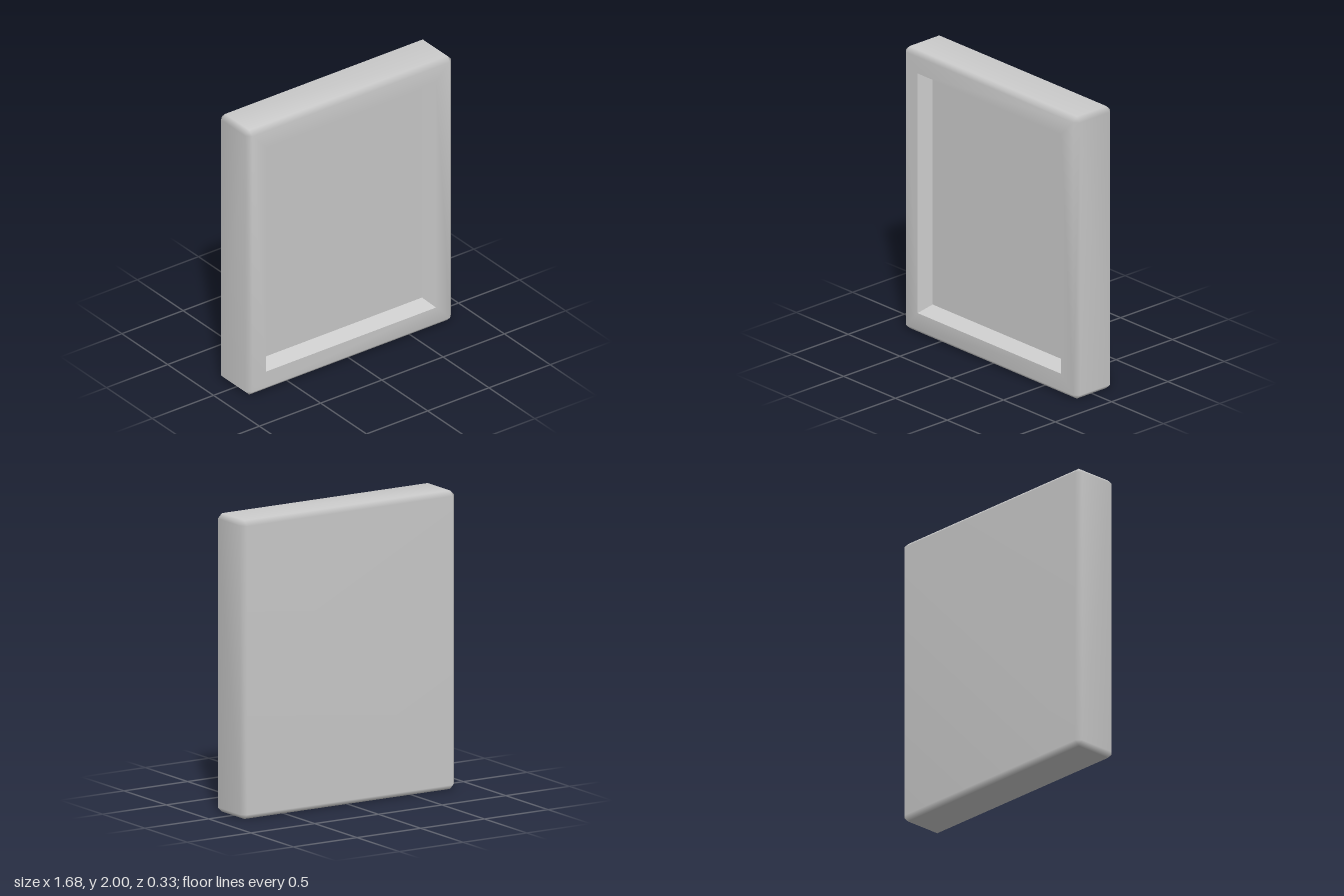
import * as THREE from 'three';

const half = [0.84, 1, 0.165]; // half sizes of the body
const bevel = 0.033;
const floorZ = 0.075;

// Corners of a rectangle, counter-clockwise as seen from the front
const rect = (x, y, z) => [[-x, -y, z], [x, -y, z], [x, y, z], [-x, y, z]];

function geometryFrom(points, index) {
  const geo = new THREE.BufferGeometry();
  geo.setAttribute('position', new THREE.Float32BufferAttribute(points.flat(), 3));
  geo.setIndex(index);
  return geo;
}

// Smoothly shaded bevelled box whose front face is a ring around an opening
function bodyGeometry(opening) {
  const points = [], index = [];
  const signs = [-1, 1];
  // One point per corner and facing axis
  for (const x of signs) for (const y of signs) for (const z of signs) {
    for (let axis = 0; axis < 3; axis++) {
      points.push([x, y, z].map((s, i) => s * (half[i] - (i === axis ? 0 : bevel))));
    }
  }
  const id = (s, axis) => ((s[0] > 0) * 4 + (s[1] > 0) * 2 + (s[2] > 0)) * 3 + axis;
  const v = (i) => new THREE.Vector3(...points[i]);
  // Adds a triangle, turned to face outward
  const tri = (a, b, c) => {
    const n = v(b).sub(v(a)).cross(v(c).sub(v(a)));
    const mid = v(a).add(v(b)).add(v(c));
    index.push(...(n.dot(mid) > 0 ? [a, b, c] : [a, c, b]));
  };
  const quad = (a, b, c, d) => { tri(a, b, c); tri(a, c, d); };
  const at = (a, sa, b, sb, c, sc) => { const s = []; s[a] = sa; s[b] = sb; s[c] = sc; return s; };

  for (let a = 0; a < 3; a++) {
    const b = (a + 1) % 3, c = (a + 2) % 3;
    for (const s of signs) {
      const face = [[-1, -1], [1, -1], [1, 1], [-1, 1]].map(([p, q]) => id(at(a, s, b, p, c, q), a));
      if (a === 2 && s === 1) {
        // Front rim around the opening
        const first = points.length;
        points.push(...opening);
        for (let i = 0; i < 4; i++) {
          const j = (i + 1) % 4;
          quad(face[i], face[j], first + j, first + i);
        }
      } else quad(...face);
      // Edge bevels parallel to axis c
      for (const t of signs) {
        const lo = at(a, s, b, t, c, -1), hi = at(a, s, b, t, c, 1);
        quad(id(lo, a), id(hi, a), id(hi, b), id(lo, b));
      }
    }
  }
  // Corner triangles
  for (let k = 0; k < 8; k++) tri(k * 3, k * 3 + 1, k * 3 + 2);

  const geo = geometryFrom(points, index);
  geo.computeVertexNormals();
  return geo;
}

export function createModel() {
  const group = new THREE.Group();
  const grey = new THREE.MeshStandardMaterial({ color: 0xcccccc });
  grey.name = 'light grey';

  const add = (name, geo, x = 0, y = 1, z = 0) => {
    const mesh = new THREE.Mesh(geo, grey);
    mesh.name = name;
    mesh.position.set(x, y, z);
    group.add(mesh);
    return mesh;
  };

  const opening = rect(0.693, 0.85, half[2]);
  const floor = rect(0.646, 0.8, floorZ);
  add('frameBody', bodyGeometry(opening));

  // Sloping walls of the recess, with sharp edges
  const wallIndex = [];
  for (let i = 0; i < 4; i++) {
    const j = (i + 1) % 4;
    wallIndex.push(i, j, j + 4, i, j + 4, i + 4);
  }
  const walls = geometryFrom([...opening, ...floor], wallIndex).toNonIndexed();
  walls.computeVertexNormals();
  add('recessWalls', walls);

  // Flat back of the recess
  add('recessPanel', new THREE.PlaneGeometry(1.292, 1.6), 0, 1, floorZ);

  // Thin hexagonal plate on the panel, points to the sides
  const hexagon = new THREE.CircleGeometry(0.167, 6);
  add('hexagonPlate', hexagon, 0.255, 1.407, floorZ + 0.002);

  return group;
}
